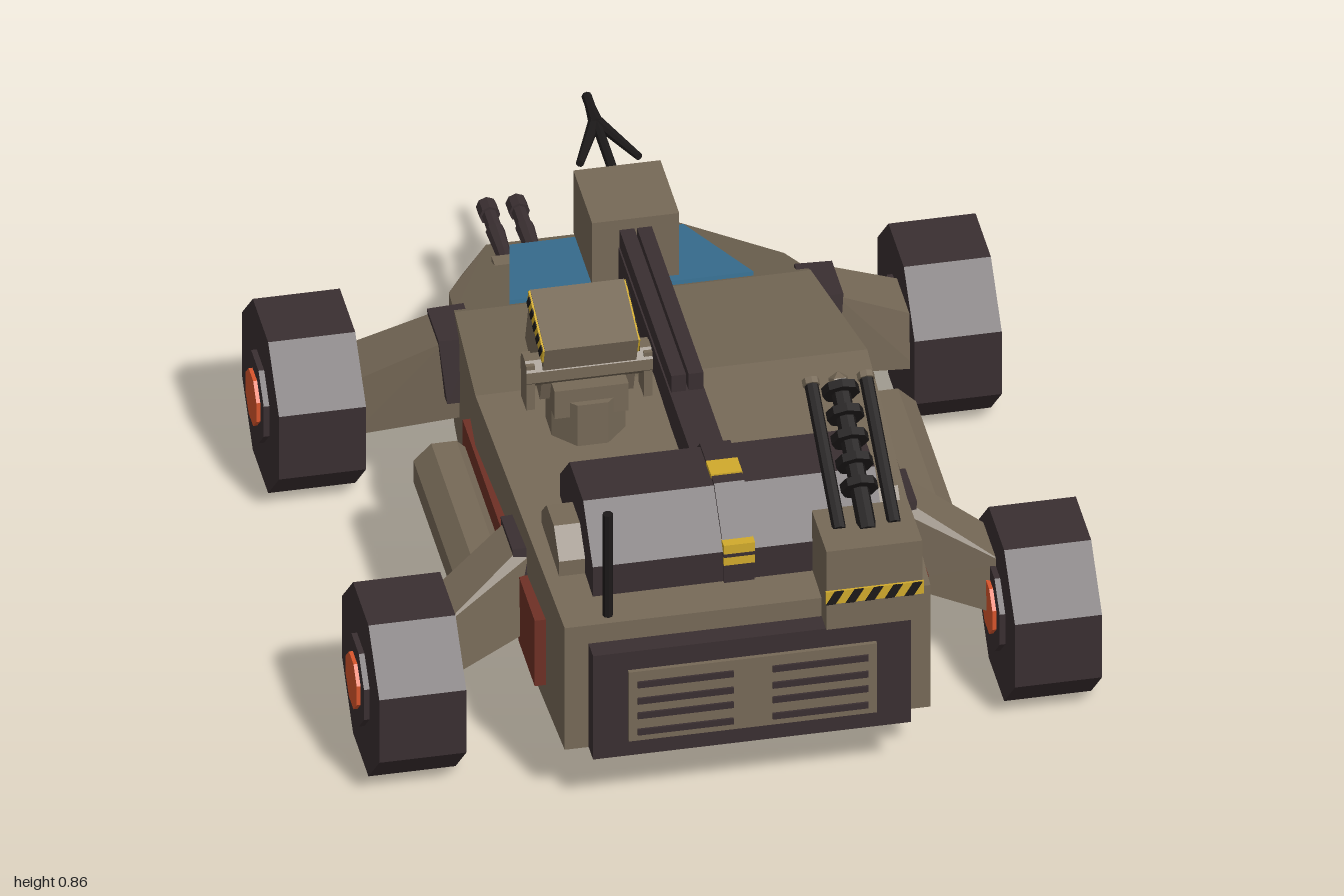
import * as THREE from 'three';
import { ConvexGeometry } from 'three/addons/geometries/ConvexGeometry.js';

const mat = (name, color) => {
  const m = new THREE.MeshStandardMaterial({ color, flatShading: true });
  m.name = name;
  return m;
};

export function createModel() {
  const armour = mat('armour tan', 0x766957);
  const dark = mat('dark metal', 0x3a2f31);
  const black = mat('black', 0x1c1919);
  const orange = mat('hub orange', 0xd8552c);
  const blue = mat('canopy blue', 0x3b7599);
  const yellow = mat('hazard yellow', 0xd0aa2c);
  const rust = mat('rust red', 0x6e3025);
  const root = new THREE.Group();

  const add = (parent, name, geo, material, x = 0, y = 0, z = 0) => {
    const m = new THREE.Mesh(geo, material);
    m.name = name;
    m.position.set(x, y, z);
    parent.add(m);
    return m;
  };
  const group = (parent, name, x, y, z) => {
    const g = new THREE.Group();
    g.name = name;
    g.position.set(x, y, z);
    parent.add(g);
    return g;
  };
  // box given by its min and max on each axis
  const box = (parent, name, material, [x0, x1], [y0, y1], [z0, z1]) =>
    add(parent, name, new THREE.BoxGeometry(x1 - x0, y1 - y0, z1 - z0), material,
      (x0 + x1) / 2, (y0 + y1) / 2, (z0 + z1) / 2);
  const solid = (parent, name, material, pts) =>
    add(parent, name, new ConvexGeometry(pts.map(p => new THREE.Vector3(...p))), material);
  // octagonal prism measured across its flats
  const octagon = (axis, apothem, length) => {
    const r = apothem / Math.cos(Math.PI / 8);
    const g = new THREE.CylinderGeometry(r, r, length, 8).rotateY(Math.PI / 8);
    if (axis === 'x') g.rotateZ(Math.PI / 2);
    if (axis === 'z') g.rotateX(Math.PI / 2);
    return g;
  };
  const rod = (parent, name, material, a, b, r0, r1 = r0) => {
    const A = new THREE.Vector3(...a), B = new THREE.Vector3(...b);
    const d = B.clone().sub(A);
    const m = add(parent, name, new THREE.CylinderGeometry(r1, r0, d.length(), 8), material);
    m.position.copy(A).add(B).multiplyScalar(0.5);
    m.quaternion.setFromUnitVectors(new THREE.Vector3(0, 1, 0), d.normalize());
    return m;
  };
  // thin yellow plate with slanted black bars, facing +z
  const hazard = (parent, x, y, z, w, h, n) => {
    const g = group(parent, 'hazardStripes', x, y, z);
    add(g, 'hazardPlate', new THREE.BoxGeometry(w, h, 0.006), yellow);
    const step = w / n, bar = step * 0.48, lean = step * 0.45;
    for (let i = 0; i < n; i++) {
      const l = -w / 2 + i * step;
      const s = new THREE.Shape([[l, -h / 2], [l + bar, -h / 2], [l + bar + lean, h / 2], [l + lean, h / 2]]
        .map(p => new THREE.Vector2(...p)));
      add(g, 'hazardBar', new THREE.ExtrudeGeometry(s, { depth: 0.003, bevelEnabled: false }), black, 0, 0, 0.002);
    }
    return g;
  };

  // hull: cross-sections of z, half width, bottom, top
  const hullPts = [];
  for (const [z, w, b, t] of [[0.93, 0.42, 0.155, 0.49], [0.075, 0.45, 0.155, 0.542], [-0.36, 0.409, 0.155, 0.465],
    [-0.54, 0.385, 0.155, 0.39], [-0.69, 0.325, 0.165, 0.326], [-0.93, 0.22, 0.19, 0.228]])
    for (const s of [-1, 1]) hullPts.push([s * w, b, z], [s * w, t, z]);
  solid(root, 'hull', armour, hullPts);

  // canopy wedge
  const canopyPts = [];
  for (const s of [-1, 1]) for (const [w, z, b, t] of [[0.2, -0.765, 0.28, 0.34], [0.28, -0.37, 0.42, 0.472]])
    canopyPts.push([s * w, b, z], [s * w, t, z]);
  solid(root, 'canopy', blue, canopyPts);

  // rear grille
  box(root, 'grilleFrame', dark, [-0.365, 0.365], [0.155, 0.44], [0.9, 0.98]);
  box(root, 'grillePanel', armour, [-0.285, 0.285], [0.2, 0.39], [0.97, 0.99]);
  for (const s of [-1, 1]) for (const y of [0.225, 0.27, 0.31, 0.355])
    add(root, 'grilleSlot', new THREE.BoxGeometry(0.22, 0.016, 0.008), dark, s * 0.155, y, 0.991);

  // engine drum with end caps and strap
  add(root, 'engineDrum', octagon('x', 0.185, 0.67), dark, 0, 0.5, 0.645);
  add(root, 'drumCaps', octagon('x', 0.1, 0.79), armour, 0, 0.5, 0.645);
  add(root, 'drumStrap', octagon('x', 0.192, 0.07), dark, 0, 0.5, 0.645);
  box(root, 'strapMark', yellow, [-0.036, 0.036], [0.685, 0.696], [0.64, 0.695]);
  box(root, 'strapMark', yellow, [-0.036, 0.036], [0.545, 0.6], [0.812, 0.84]);
  box(root, 'strapMarkGap', dark, [-0.037, 0.037], [0.568, 0.576], [0.82, 0.842]);

  // long central gun
  box(root, 'gunBase', dark, [-0.04, 0.04], [0.53, 0.615], [-0.34, 0.5]);
  for (const s of [-1, 1])
    add(root, 'gunRail', new THREE.BoxGeometry(0.034, 0.045, 0.6), dark, s * 0.02, 0.64, -0.045);
  box(root, 'gunHead', armour, [-0.1, 0.1], [0.52, 0.69], [-0.535, -0.325]);
  rod(root, 'gunBarrel', black, [0, 0.645, -0.53], [0, 0.645, -0.875], 0.012);
  rod(root, 'gunTip', black, [0, 0.645, -0.76], [0, 0.645, -0.86], 0.018, 0.01);
  for (const s of [-1, 1])
    rod(root, 'gunProng', black, [0, 0.645, -0.78], [s * 0.068, 0.645, -0.62], 0.015, 0.009);

  // missile launcher
  add(root, 'launcherPedestal', octagon('y', 0.085, 0.14), armour, -0.225, 0.57, 0.21);
  box(root, 'launcherCradle', armour, [-0.31, -0.14], [0.6, 0.675], [0.07, 0.28]);
  add(root, 'launcherPivot', octagon('x', 0.035, 0.29), armour, -0.225, 0.705, 0.225);
  for (const x of [-0.36, -0.09]) add(root, 'pivotArm', new THREE.BoxGeometry(0.02, 0.12, 0.06), armour, x, 0.675, 0.225);
  const launcher = group(root, 'launcher', -0.225, 0.7325, 0.17);
  launcher.rotation.x = 0.32;
  add(launcher, 'launcherBox', new THREE.BoxGeometry(0.215, 0.182, 0.174), armour);
  for (const s of [-1, 1])
    hazard(launcher, s * 0.109, 0.068, 0, 0.172, 0.042, 5).rotation.y = s * Math.PI / 2;
  for (let i = 0; i < 4; i++) for (let j = 0; j < 3; j++)
    add(launcher, 'missileTube', new THREE.CylinderGeometry(0.011, 0.011, 0.008, 8).rotateX(Math.PI / 2), black,
      -0.075 + i * 0.05, -0.055 + j * 0.055, -0.088);

  // rear box with twin-rail cannon
  box(root, 'cannonBox', armour, [0.17, 0.39], [0.44, 0.655], [0.82, 0.985]);
  hazard(root, 0.28, 0.53, 0.988, 0.225, 0.034, 5);
  const cannon = group(root, 'cannon', 0.28, 0.655, 0.89);
  cannon.rotation.x = 0.526;
  for (const s of [-1, 1]) {
    rod(cannon, 'cannonRail', black, [s * 0.063, 0, 0.01], [s * 0.063, 0, -0.35], 0.016);
    rod(cannon, 'railTip', armour, [s * 0.063, 0, -0.35], [s * 0.063, 0, -0.365], 0.02);
  }
  rod(cannon, 'cannonBarrel', black, [0, 0, 0.02], [0, 0, -0.34], 0.022);
  for (let i = 0; i < 5; i++)
    rod(cannon, 'coolingDisc', black, [0, 0, -0.08 - i * 0.06], [0, 0, -0.1 - i * 0.06], 0.043);
  add(cannon, 'cannonMuzzle', new THREE.IcosahedronGeometry(0.026, 0), armour, 0, 0, -0.35);

  rod(root, 'antenna', black, [-0.315, 0.48, 0.9], [-0.315, 0.77, 0.9], 0.012);

  // twin nose guns
  for (const x of [-0.205, -0.137]) {
    rod(root, 'noseGun', dark, [x, 0.285, -0.7], [x, 0.285, -0.96], 0.018);
    rod(root, 'noseGunSleeve', dark, [x, 0.285, -0.77], [x, 0.285, -0.9], 0.016, 0.022);
    rod(root, 'noseGunMuzzle', dark, [x, 0.285, -0.96], [x, 0.285, -1], 0.024);
  }
  box(root, 'noseGunMount', armour, [-0.24, -0.1], [0.25, 0.31], [-0.77, -0.7]);

  for (const s of [-1, 1]) {
    // rust panels and side pods
    const side = group(root, s > 0 ? 'leftSide' : 'rightSide', 0, 0, 0);
    add(side, 'sidePanel', new THREE.BoxGeometry(0.04, 0.165, 0.48), rust, s * 0.438, 0.322, 0.21);
    add(side, 'rearPanel', new THREE.BoxGeometry(0.04, 0.18, 0.18), rust, s * 0.432, 0.3, 0.66);
    add(side, 'sidePod', octagon('z', 0.07, 0.54), armour, s * 0.507, 0.3, 0.27);
    add(side, 'podCore', octagon('z', 0.03, 0.6), dark, s * 0.507, 0.3, 0.27);
    rod(side, 'exhaust', dark, [s * 0.49, 0.145, 0.015], [s * 0.49, 0.25, 0.015], 0.025);

    for (const [z, dir, label] of [[-0.48, 1, 'nose'], [0.645, -1, 'rear']]) {
      // arm from hull to wheel
      const hz = z + dir * 0.15;
      const pts = [];
      for (const e of [-1, 1]) pts.push(
        [s * 0.4, 0.25, hz + e * 0.075], [s * 0.4, 0.45, hz + e * 0.06], [s * 0.45, 0.45, hz + e * 0.06],
        [s * 0.65, 0.18, z + dir * 0.07 + e * 0.08], [s * 0.65, 0.32, z + dir * 0.07 + e * 0.07]);
      solid(side, label + 'Arm', armour, pts);
      const bracket = [];
      for (const e of [-1, 1]) bracket.push(
        [s * 0.36, 0.3, hz + e * 0.09], [s * 0.45, 0.3, hz + e * 0.09],
        [s * 0.38, 0.458, hz + e * 0.07], [s * 0.465, 0.458, hz + e * 0.065]);
      solid(side, label + 'Bracket', dark, bracket);

      // wheel
      const wheel = group(side, label + 'Wheel', s * 0.73, 0.21, z);
      add(wheel, 'tyre', octagon('x', 0.208, 0.2), dark);
      add(wheel, 'rim', octagon('x', 0.1, 0.226), dark);
      add(wheel, 'hub', octagon('x', 0.062, 0.244), orange);
    }
  }
  return root;
}
